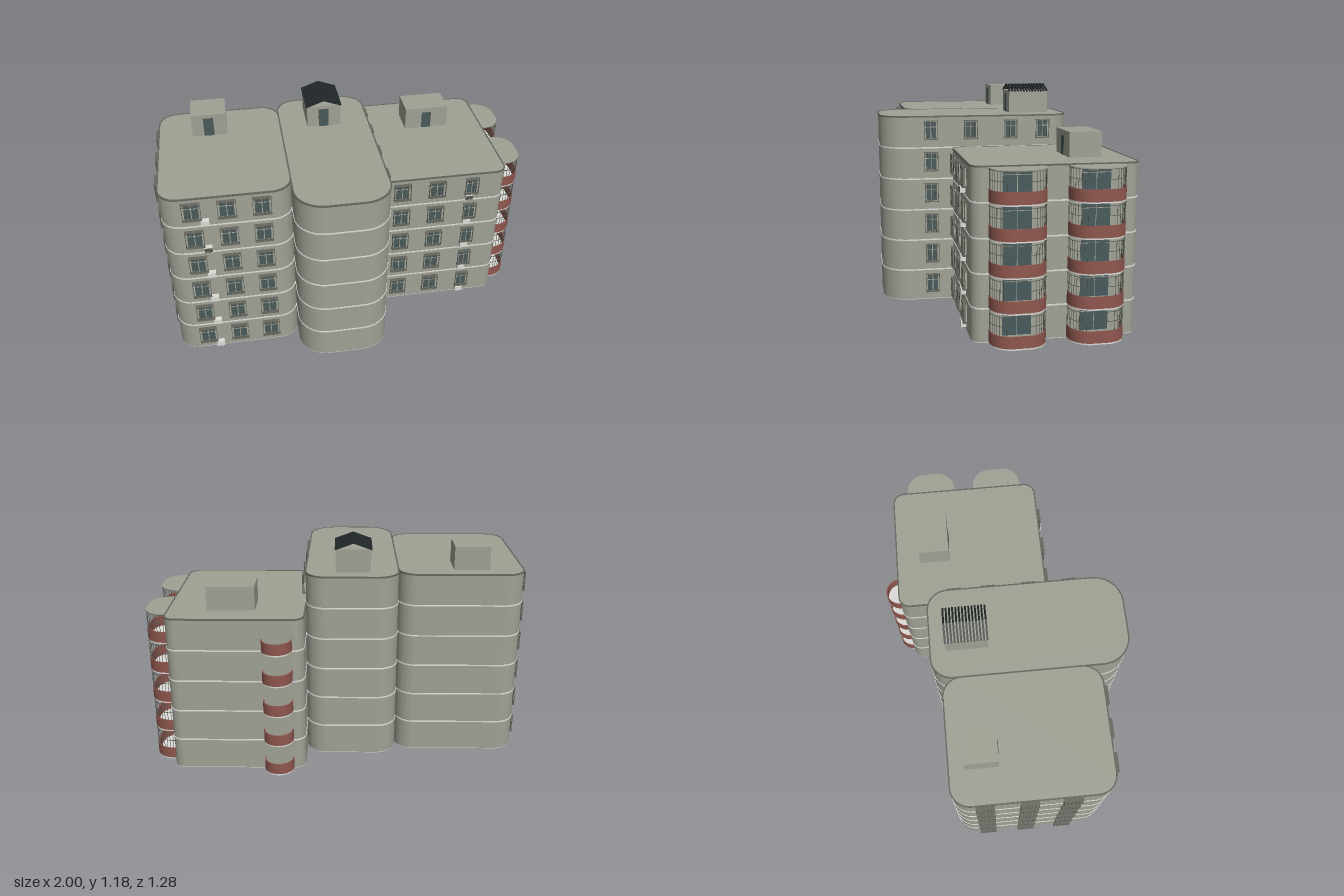
import * as THREE from 'three';
import { mergeGeometries, toCreasedNormals } from 'three/addons/utils/BufferGeometryUtils.js';

const mat = (name, color) => Object.assign(new THREE.MeshStandardMaterial({ color }), { name });
const WALL = mat('wall grey', 0xa0a295);
const BAND = mat('pale band', 0xdcdcd8);
const RED = mat('brick red', 0x8f574e);
const GLASS = mat('window glass', 0x485a5c);
const FRAME = mat('window frame', 0xa9aa9c);
const BARS = mat('dark iron', 0x55574f);
const TRIM = mat('roof trim', 0x66685f);
const SLAT = mat('black slat', 0x22282a);
const FLOOR = 0.1704;

function mesh(parent, name, geo, material) {
  const m = new THREE.Mesh(geo, material);
  m.name = name;
  parent.add(m);
  return m;
}
function box(w, h, d, x, y, z) {
  return new THREE.BoxGeometry(w, h, d).translate(x, y, z);
}
// Plan shape (x, z) raised from y0 by h
function raise(shape, y0, h) {
  const g = new THREE.ExtrudeGeometry(shape, { depth: h, bevelEnabled: false, curveSegments: 10 });
  g.rotateX(Math.PI / 2).translate(0, y0 + h, 0);
  return toCreasedNormals(g, 0.5);
}
// Rounded plan with separate back and front corner radii
function plan(b, grow = 0) {
  const x0 = b.x0 - grow, x1 = b.x1 + grow, z0 = b.z0 - grow, z1 = b.z1 + grow;
  const rb = b.rb + grow, rf = b.rf + grow, P = Math.PI;
  const s = new THREE.Shape();
  s.absarc(x0 + rb, z0 + rb, rb, P, 1.5 * P);
  s.absarc(x1 - rb, z0 + rb, rb, 1.5 * P, 2 * P);
  s.absarc(x1 - rf, z1 - rf, rf, 0, 0.5 * P);
  s.absarc(x0 + rf, z1 - rf, rf, 0.5 * P, P);
  s.closePath();
  return s;
}

// Tower block with a pale base, floor bands and a roof rim
function block(parent, name, b) {
  const g = new THREE.Group();
  g.name = name;
  parent.add(g);
  const top = b.floors * FLOOR;
  mesh(g, 'base', raise(plan(b), 0, 0.003), BAND);
  mesh(g, 'walls', raise(plan(b), 0.003, top - 0.003), WALL);
  for (let f = 1; f < b.floors; f++) mesh(g, 'floorBand', raise(plan(b, 0.003), f * FLOOR - 0.0035, 0.007), BAND);
  const rim = plan(b, 0.003);
  rim.holes.push(plan(b, -0.004));
  mesh(g, 'roofRim', raise(rim, top - 0.006, 0.008), TRIM);
}

// Caged window facing local +z, centred on its origin
function windowParts(w, h) {
  const gw = w * 0.8, gh = h * 0.88, d = 0.02;
  const frame = [box(0.004, gh, 0.006, 0, 0, 0.003), box(gw, 0.003, 0.006, 0, gh * 0.2, 0.003)];
  const ledges = [];
  const bars = [];
  for (const s of [-1, 1]) {
    frame.push(box(0.004, gh, 0.008, s * gw / 2, 0, 0.004));
    ledges.push(box(w, 0.003, d, 0, s * h / 2, d / 2));
    bars.push(box(w, 0.002, 0.002, 0, s * h * 0.4, d - 0.002));
    bars.push(box(0.002, h, 0.002, s * w * 0.48, 0, d / 2));
    bars.push(box(0.002, 0.002, d, s * w * 0.48, s * h * 0.4, d / 2));
  }
  for (let i = 0; i < 6; i++) bars.push(box(0.002, h, 0.002, (i / 5 - 0.5) * w * 0.96, 0, d - 0.002));
  return [
    ['glass', box(gw, gh, 0.004, 0, 0, 0.002), GLASS],
    ['frame', mergeGeometries(frame), FRAME],
    ['ledges', mergeGeometries(ledges), TRIM],
    ['grille', mergeGeometries(bars), BARS],
  ];
}
const WIDE = windowParts(0.095, 0.1);
const NARROW = windowParts(0.075, 0.1);

function addParts(parent, name, parts, x, y, z, turn) {
  const g = new THREE.Group();
  g.name = name;
  for (const [n, geo, m] of parts) mesh(g, n, geo, m);
  g.position.set(x, y, z);
  g.rotation.y = turn;
  parent.add(g);
}
const windowY = f => f * FLOOR + 0.095;

// Air conditioner below a window; one floor has a dark front grille
function airConditioner(parent, x, f, z) {
  const y = f * FLOOR + 0.03;
  mesh(parent, 'airConditioner', box(0.042, 0.03, 0.026, x, y, z + 0.013), BAND);
  if (f === 4) mesh(parent, 'fanGrille', box(0.04, 0.024, 0.003, x, y, z + 0.0265), BARS);
}

// Balcony outline in plan: straight sides from the wall, rounded outer corners
function outline(w, d, r, n = 8) {
  const pts = [[-w / 2, 0]];
  for (const s of [-1, 1]) {
    for (let i = 0; i <= n; i++) {
      const a = (s < 0 ? Math.PI : Math.PI / 2) - (i / n) * Math.PI / 2;
      pts.push([s * (w / 2 - r) + r * Math.cos(a), d - r + r * Math.sin(a)]);
    }
  }
  pts.push([w / 2, 0]);
  return pts.map(p => new THREE.Vector2(...p));
}
function ring(w, d, r, t) {
  return new THREE.Shape([...outline(w, d, r), ...outline(w - 2 * t, d - t, r - t).reverse()]);
}
function balconyParts(w, d, r) {
  return [
    ['slab', raise(new THREE.Shape(outline(w, d, r)), 0.001, 0.007), BAND],
    ['parapet', raise(ring(w, d, r, 0.006), 0.008, 0.059), RED],
  ];
}
// Railing of thin upright bars and two hoops above the parapet
function railingParts(w, d, r) {
  const geos = [];
  const path = new THREE.CurvePath();
  const pts = outline(w - 0.006, d - 0.003, r - 0.003);
  for (let i = 1; i < pts.length; i++) {
    if (pts[i].distanceTo(pts[i - 1]) > 1e-6) path.add(new THREE.LineCurve(pts[i - 1], pts[i]));
  }
  const n = 24;
  for (let i = 0; i <= n; i++) {
    const p = path.getPointAt(i / n);
    // The middle stays open in front of the window
    if (Math.abs(p.x) > 0.068) geos.push(box(0.002, 0.096, 0.002, p.x, 0.114, p.y));
  }
  const hoop = y => raise(ring(w, d, r, 0.003), y, 0.002);
  return [['railBars', mergeGeometries(geos), BARS], ['midRail', hoop(0.112), BARS], ['topRail', hoop(0.159), BARS]];
}
// Wide balcony window with mullions and a transom
function balconyWindowParts() {
  const f = [box(0.145, 0.003, 0.007, 0, 0.128, 0), box(0.15, 0.004, 0.009, 0, 0.152, 0)];
  for (const x of [-0.072, 0, 0.072]) f.push(box(0.003, 0.12, 0.007, x, 0.092, 0));
  return [['glass', box(0.145, 0.12, 0.004, 0, 0.092, 0.001), GLASS], ['frame', mergeGeometries(f), FRAME]];
}

// Stair hut on the roof with a door in front
function hut(parent, x0, x1, z0, z1, y, h, doorX, doorH) {
  const g = new THREE.Group();
  g.name = 'roofHut';
  parent.add(g);
  mesh(g, 'hutWalls', box(x1 - x0, h, z1 - z0, (x0 + x1) / 2, y + h / 2, (z0 + z1) / 2), WALL);
  mesh(g, 'doorFrame', box(0.054, doorH + 0.002, 0.003, doorX, y + doorH / 2, z1 + 0.001), BARS);
  mesh(g, 'door', box(0.046, doorH - 0.002, 0.003, doorX, y + doorH / 2 - 0.001, z1 + 0.002), GLASS);
}

export function createModel() {
  const root = new THREE.Group();
  root.name = 'apartmentBuilding';
  const left = { x0: -0.978, x1: -0.32, z0: -0.35, z1: 0.47, rb: 0.1, rf: 0.1, floors: 6 };
  const mid = { x0: -0.32, x1: 0.168, z0: -0.4, z1: 0.635, rb: 0.11, rf: 0.15, floors: 6 };
  const right = { x0: 0.168, x1: 0.876, z0: -0.562, z1: 0.255, rb: 0.06, rf: 0.06, floors: 5 };
  block(root, 'rightHandBlock', left);
  block(root, 'middleBlock', mid);
  block(root, 'leftHandBlock', right);

  // Windows on the two six-storey blocks
  for (let f = 0; f < 6; f++) {
    const y = windowY(f);
    for (const x of [-0.822, -0.648, -0.475]) addParts(root, 'frontWindow', WIDE, x, y, left.z1, 0);
    for (const z of [-0.185, 0.035, 0.25]) addParts(root, 'sideWindow', WIDE, left.x0, y, z, -Math.PI / 2);
    const zs = f === 5 ? [0.367, 0.15, -0.07, -0.25] : [0.367];
    for (const z of zs) addParts(root, 'middleWindow', NARROW, mid.x1, y, z, Math.PI / 2);
    airConditioner(root, -0.76, f, left.z1);
  }

  // Windows and balconies on the five-storey block
  const slabs = balconyParts(0.272, 0.122, 0.1);
  const rails = railingParts(0.272, 0.122, 0.1);
  const panes = balconyWindowParts();
  const small = balconyParts(0.156, 0.08, 0.077);
  for (let f = 0; f < 5; f++) {
    const y = windowY(f);
    addParts(root, 'frontWindow', WIDE, 0.293, y, right.z1, 0);
    addParts(root, 'frontWindow', WIDE, 0.487, y, right.z1, 0);
    addParts(root, 'frontWindow', NARROW, 0.682, y, right.z1, 0);
    airConditioner(root, 0.667, f, right.z1);
    for (const z of [0.04, -0.342]) {
      addParts(root, 'sideBalcony', [...slabs, ...rails, ...panes], right.x1, f * FLOOR, z, Math.PI / 2);
    }
    addParts(root, 'backBalcony', small, 0.307, f * FLOOR, right.z0, Math.PI);
  }
  // Covers over the top balconies
  const cover = [['cover', raise(new THREE.Shape(outline(0.272, 0.122, 0.1)), 0.161, 0.005), WALL]];
  for (const z of [0.04, -0.342]) addParts(root, 'balconyCover', cover, right.x1, 4 * FLOOR, z, Math.PI / 2);

  // Roof huts
  hut(root, -0.797, -0.61, -0.27, -0.1, 1.022, 0.126, -0.707, 0.104);
  hut(root, -0.173, 0.01, -0.318, -0.097, 1.022, 0.124, -0.083, 0.104);
  hut(root, 0.425, 0.673, -0.43, -0.265, 0.852, 0.126, 0.549, 0.097);

  // Open gable of dark rafters over the middle hut
  const rafters = [];
  for (let i = 0; i < 14; i++) {
    const z = -0.314 + i * 0.0165;
    for (const s of [-1, 1]) {
      const g = new THREE.BoxGeometry(0.104, 0.006, 0.0095).rotateZ(-s * 0.353);
      rafters.push(g.translate(-0.082 + s * 0.048, 1.162, z));
    }
  }
  mesh(root, 'rafters', mergeGeometries(rafters), SLAT);
  return root;
}
